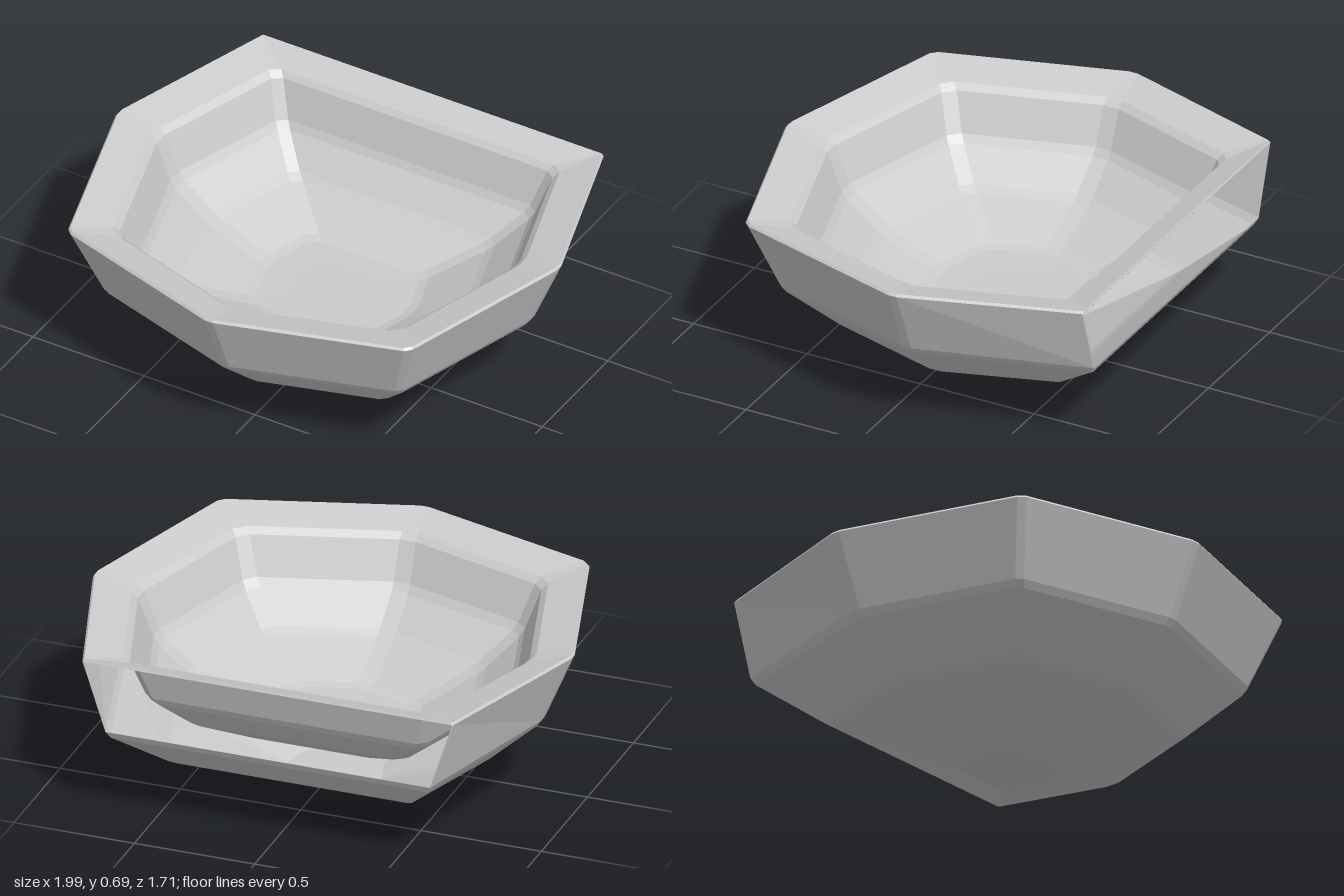
import * as THREE from 'three';

const CENTRE_Z = -0.14;

// Seven-sided outline, from the back corner at +x round the front to the back corner at -x
const OUTLINE = [[0.77, -0.72], [1, 0], [0.77, 0.77], [0, 1], [-0.77, 0.77], [-1, 0], [-0.77, -0.72]];

// One level: outline scaled by r at height y, back edge at depth "back", each corner cut in two
function ring({ r, y, back = -0.72 * r }, cut, backCut) {
  const n = OUTLINE.length;
  const corners = OUTLINE.map(([x, z], i) =>
    new THREE.Vector3(x * r, y, (i === 0 || i === n - 1 ? back : z * r) + CENTRE_Z));
  const points = [];
  corners.forEach((p, i) => {
    const size = i === 0 || i === n - 1 ? backCut : cut;
    for (const q of [corners[(i + n - 1) % n], corners[(i + 1) % n]]) {
      const d = p.distanceTo(q);
      points.push(p.clone().lerp(q, Math.min(size, d * 0.25) / d));
    }
  });
  return points;
}

// Replace every inner level by two close ones, making a narrow chamfer
function chamfer(levels, size) {
  const out = [];
  levels.forEach((p, i) => {
    if (i === 0 || i === levels.length - 1) { out.push(p); return; }
    for (const q of [levels[i - 1], levels[i + 1]]) {
      const t = Math.min(0.3, size / Math.hypot(q.r - p.r, q.y - p.y));
      const mix = (a, b) => a + (b - a) * t;
      out.push({
        r: mix(p.r, q.r),
        y: mix(p.y, q.y),
        back: mix(p.back ?? -0.72 * p.r, q.back ?? -0.72 * q.r),
      });
    }
  });
  return out;
}

// Join rings from top to bottom and cap the lowest; bands above openUntil have no back face
function loft(rings, inward, openUntil = 0) {
  const n = rings[0].length;
  const index = [];
  const tri = (a, b, c) => index.push(...(inward ? [a, c, b] : [a, b, c]));
  for (let k = 0; k < rings.length - 1; k++) {
    for (let i = 0; i < n; i++) {
      if (k < openUntil && i === n - 1) continue;
      const j = (i + 1) % n, a = k * n, b = a + n;
      tri(a + i, a + j, b + i);
      tri(a + j, b + j, b + i);
    }
  }
  const last = (rings.length - 1) * n;
  for (let i = 1; i < n - 1; i++) tri(last, last + i, last + i + 1);
  const geometry = new THREE.BufferGeometry().setFromPoints(rings.flat());
  geometry.setIndex(index);
  geometry.computeVertexNormals();
  return geometry;
}

export function createModel() {
  const group = new THREE.Group();
  group.name = 'cornerBasin';
  const material = new THREE.MeshStandardMaterial({
    color: 0xcccccc, flatShading: true, side: THREE.DoubleSide,
  });
  const add = (name, geometry) => {
    const mesh = new THREE.Mesh(geometry, material);
    mesh.name = name;
    group.add(mesh);
  };

  // Outer shell, open at the back above the lower slope
  const shell = chamfer([
    { r: 1, y: 0.675, back: -0.72 },
    { r: 0.87, y: 0.37, back: -0.72 },
    { r: 0.645, y: 0.165 },
    { r: 0.2, y: 0, back: -0.12 },
  ], 0.018);
  shell.push({ r: 0.18, y: 0, back: -0.11 });
  add('outerShell', loft(shell.map((l) => ring(l, 0.02, 0.003)), false, 1));

  // Rim lip, sloping rim and inner bowl
  const lip = [{ r: 1, y: 0.675, back: -0.72 }, { r: 0.992, y: 0.685, back: -0.716 }];
  const bowl = chamfer([
    lip[1],
    { r: 0.82, y: 0.64 },
    { r: 0.74, y: 0.45 },
    { r: 0.58, y: 0.32 },
    { r: 0.33, y: 0.21 },
    { r: 0.2, y: 0.207 },
  ], 0.02);
  const rings = [lip[0], ...bowl].map((l, k) => ring(l, k < 2 ? 0.02 : 0.035, k < 2 ? 0.003 : 0.03));
  add('rimAndBowl', loft(rings, true));

  return group;
}
